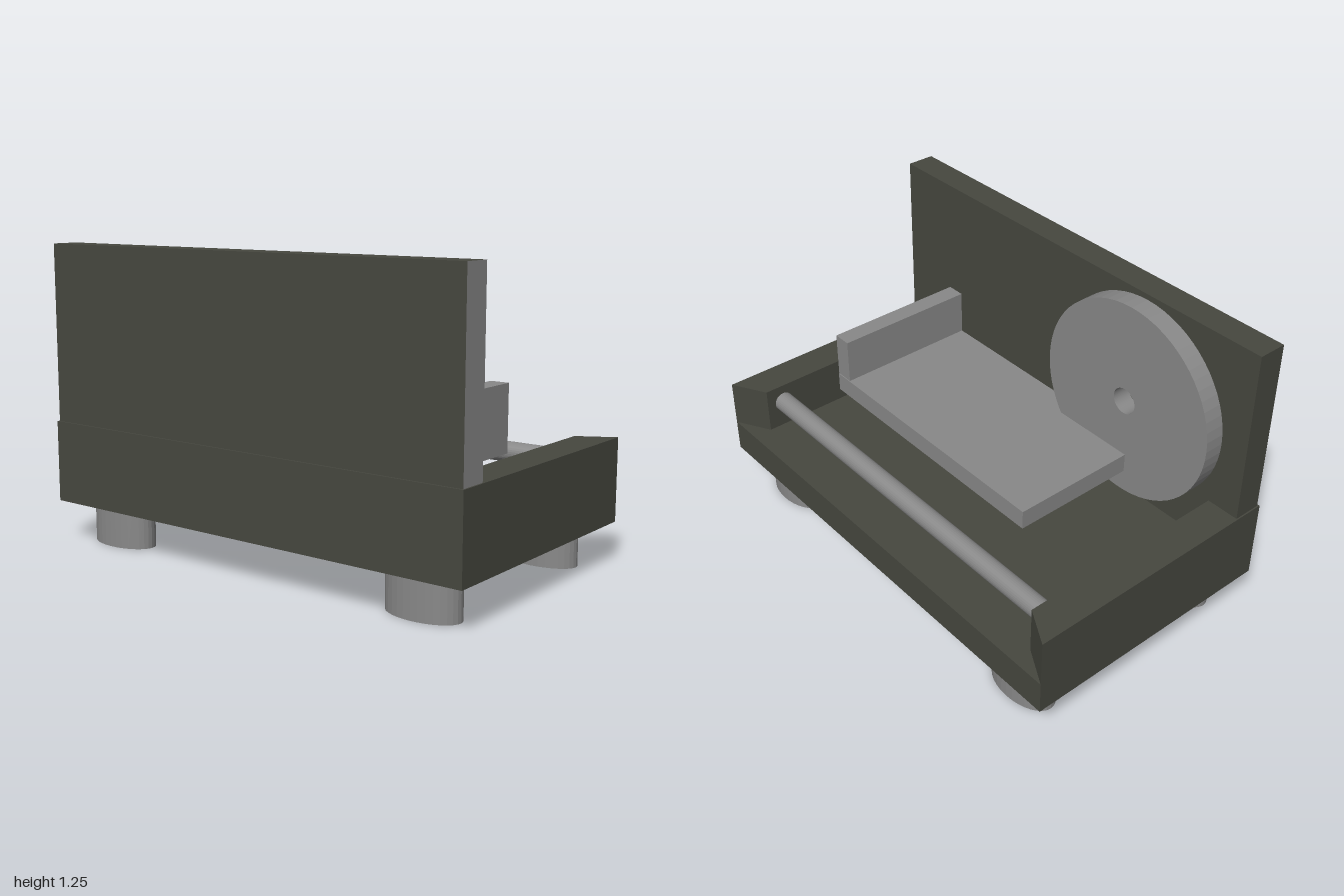
import * as THREE from 'three';

const dark = new THREE.MeshStandardMaterial({ color: 0x46473f });
dark.name = 'darkOlive';
const grey = new THREE.MeshStandardMaterial({ color: 0x888888, flatShading: true });
grey.name = 'midGrey';

export function createModel() {
  const model = new THREE.Group();

  const add = (name, geometry, material) => {
    const mesh = new THREE.Mesh(geometry, material);
    mesh.name = name;
    model.add(mesh);
    return mesh;
  };

  // Box given by its lower and upper corners
  const box = (name, [x0, y0, z0], [x1, y1, z1], material) => {
    const g = new THREE.BoxGeometry(x1 - x0, y1 - y0, z1 - z0);
    g.translate((x0 + x1) / 2, (y0 + y1) / 2, (z0 + z1) / 2);
    return add(name, g, material);
  };

  // Tray floor
  box('trayFloor', [-0.563, 0.17, -1], [0.563, 0.31, 1], dark);

  // U-shaped rim with bevelled cheek ends, drawn in plan and raised
  const rim = new THREE.Shape([
    [-0.563, -1], [0.563, -1], [0.48, -0.853], [-0.45, -0.853],
    [-0.45, 0.853], [0.48, 0.853], [0.563, 1], [-0.563, 1],
  ].map(([x, z]) => new THREE.Vector2(x, z)));
  const rimGeometry = new THREE.ExtrudeGeometry(rim, { depth: 0.2, bevelEnabled: false });
  rimGeometry.rotateX(-Math.PI / 2);
  rimGeometry.translate(0, 0.31, 0);
  add('trayRim', rimGeometry, dark);

  // Tall wall, with one grey end face
  box('backWall', [-0.555, 0.31, -0.994], [-0.436, 1.248, 0.994],
    [dark, dark, dark, dark, grey, dark]);

  // Disc with a centre hole, standing against the wall
  const disc = new THREE.Shape().absarc(0, 0, 0.425, 0, Math.PI * 2);
  disc.holes.push(new THREE.Path().absarc(0, 0, 0.056, 0, Math.PI * 2, true));
  const discGeometry = new THREE.ExtrudeGeometry(disc, {
    depth: 0.084, bevelEnabled: false, curveSegments: 32,
  });
  discGeometry.rotateY(Math.PI / 2);
  discGeometry.translate(-0.436, 0.8, -0.452);
  add('disc', discGeometry, grey);

  // Shelf and its upright fence
  box('shelf', [-0.436, 0.47, -0.48], [0.191, 0.552, 0.72], grey);
  box('fence', [-0.436, 0.472, 0.643], [0.187, 0.745, 0.723], grey);

  // Rod between the cheeks
  const rod = new THREE.CylinderGeometry(0.042, 0.042, 1.71, 32);
  rod.rotateX(Math.PI / 2);
  add('frontRod', rod, grey).position.set(0.4, 0.429, 0);

  // Four oval feet
  for (const x of [-0.42, 0.418]) {
    for (const z of [-0.755, 0.755]) {
      const foot = new THREE.CylinderGeometry(1, 1, 0.17, 32);
      foot.scale(0.087, 1, 0.155);
      add('foot', foot, grey).position.set(x, 0.085, z);
    }
  }

  return model;
}
